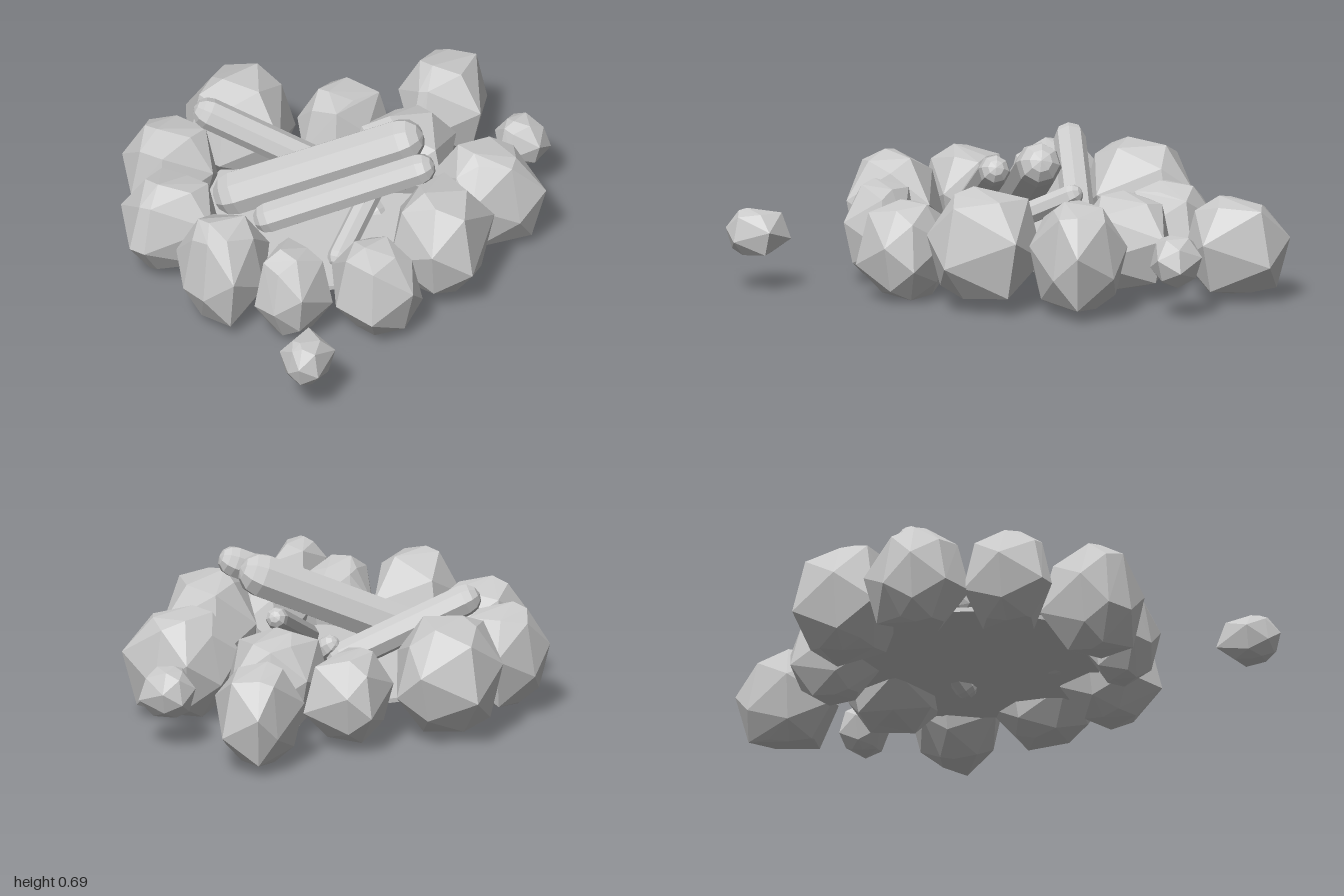
import * as THREE from 'three';
import { ConvexGeometry } from 'three/addons/geometries/ConvexGeometry.js';

const grey = new THREE.MeshStandardMaterial({ color: 0xcccccc, flatShading: true });

// Faceted stone: hull of a zigzag waist with smaller rings above and below.
// The outline is its plan as x, z pairs.
function makeStone(y0, y1, outline) {
  const height = y1 - y0;
  const n = outline.length / 2;
  let cx = 0;
  let cz = 0;
  for (let i = 0; i < n; i++) {
    cx += outline[2 * i] / n;
    cz += outline[2 * i + 1] / n;
  }
  const points = [];
  const addPoint = (i, scale, t) => points.push(new THREE.Vector3(
    cx + (outline[2 * i] - cx) * scale, y0 + height * t, cz + (outline[2 * i + 1] - cz) * scale));
  for (let i = 0; i < n; i++) {
    const wobble = Math.sin(i * 2.4 + cx * 9 + cz * 5);
    addPoint(i, 1, i % 2 ? 0.6 : 0.36);
    if (i % 2) addPoint(i, 0.76, 0.14 + 0.05 * wobble);
    else addPoint(i, 0.76, 0.86 + 0.05 * wobble);
    if (i % 2) addPoint(i, 0.5, 0.95 + 0.03 * wobble);
    else addPoint(i, 0.5, 0.05 + 0.03 * wobble);
  }
  addPoint(0, 0.3, 1);
  addPoint(1, 0.3, 0);
  return new THREE.Mesh(new ConvexGeometry(points), grey);
}

// Eight-sided log with rounded ends, from the centre of one end to the other
function makeLog(low, high, radius) {
  const a = new THREE.Vector3(...low);
  const b = new THREE.Vector3(...high);
  const dir = b.clone().sub(a);
  const mesh = new THREE.Mesh(new THREE.CapsuleGeometry(radius, dir.length(), 3, 8), grey);
  mesh.position.copy(a).add(b).multiplyScalar(0.5);
  mesh.quaternion.setFromUnitVectors(new THREE.Vector3(0, 1, 0), dir.normalize());
  return mesh;
}

export function createModel() {
  const model = new THREE.Group();
  model.name = 'campfire';
  const add = (name, mesh) => {
    mesh.name = name;
    model.add(mesh);
  };

  // Stones around the fire
  add('backStone', makeStone(0.03, 0.53, [-0.38, -0.78, -0.29, -0.93, -0.07, -1, 0.12, -0.84, 0.12, -0.69, -0.1, -0.47, -0.33, -0.6]));
  add('backRightStone', makeStone(0.03, 0.48, [-0.75, -0.65, -0.7, -0.8, -0.56, -0.85, -0.36, -0.82, -0.35, -0.58, -0.45, -0.46, -0.7, -0.49]));
  add('rightBackStone', makeStone(0.04, 0.47, [-0.98, -0.3, -0.91, -0.48, -0.69, -0.52, -0.55, -0.37, -0.56, -0.23, -0.68, -0.11, -0.95, -0.23]));
  add('rightStone', makeStone(0.01, 0.51, [-0.94, 0.07, -0.9, -0.05, -0.68, -0.12, -0.53, 0.12, -0.64, 0.25, -0.84, 0.32, -0.92, 0.2]));
  add('rightFrontStone', makeStone(0.02, 0.45, [-0.74, 0.33, -0.6, 0.2, -0.5, 0.22, -0.42, 0.38, -0.44, 0.49, -0.63, 0.54, -0.71, 0.44]));
  add('frontStone', makeStone(0, 0.43, [-0.43, 0.5, -0.35, 0.34, -0.15, 0.33, -0.09, 0.45, -0.08, 0.65, -0.18, 0.73, -0.38, 0.71]));
  add('frontLeftStone', makeStone(0.03, 0.53, [-0.09, 0.4, 0.08, 0.22, 0.3, 0.24, 0.39, 0.49, 0.15, 0.69, -0.02, 0.63]));
  add('leftFrontStone', makeStone(0.01, 0.49, [0.28, 0.28, 0.34, 0.05, 0.48, 0.03, 0.65, 0.07, 0.71, 0.21, 0.7, 0.42, 0.56, 0.43, 0.35, 0.37]));
  add('leftStone', makeStone(0.03, 0.45, [0.15, -0.32, 0.39, -0.41, 0.53, -0.32, 0.62, -0.18, 0.4, 0.07, 0.2, -0.04]));
  add('backLeftStone', makeStone(0.03, 0.43, [0.07, -0.55, 0.11, -0.66, 0.33, -0.75, 0.42, -0.69, 0.48, -0.48, 0.3, -0.4, 0.14, -0.4]));

  // Loose stones lying outside the ring
  add('largeLooseStone', makeStone(0.01, 0.45, [0.53, -0.4, 0.59, -0.6, 0.81, -0.66, 0.92, -0.65, 0.97, -0.48, 0.79, -0.25, 0.56, -0.35]));
  add('leftLooseStone', makeStone(0.14, 0.36, [0.74, -0.02, 0.78, -0.12, 0.88, -0.14, 0.95, -0.09, 0.96, 0.05, 0.87, 0.1, 0.76, 0.04]));
  add('frontLooseStone', makeStone(0.15, 0.36, [-0.93, 0.9, -0.91, 0.8, -0.73, 0.76, -0.7, 0.92, -0.84, 1, -0.92, 0.97]));

  // Leaning logs and thinner sticks beneath them
  add('largeLog', makeLog([-0.43, 0.28, -0.31], [0.15, 0.59, 0.12], 0.1));
  add('frontLog', makeLog([-0.43, 0.31, -0.04], [0.1, 0.59, 0.34], 0.07));
  add('backLog', makeLog([0.02, 0.27, -0.25], [-0.39, 0.52, -0.59], 0.07));
  add('crossStick', makeLog([-0.25, 0.2, 0.24], [0.2, 0.44, -0.03], 0.05));
  add('shortStick', makeLog([0.09, 0.16, 0], [0.05, 0.32, -0.2], 0.05));

  // Flat ash bed inside the ring
  const ash = new THREE.Mesh(new THREE.CylinderGeometry(0.55, 0.55, 0.02, 24), grey);
  ash.position.set(-0.13, 0.17, -0.1);
  add('ashBed', ash);

  return model;
}
